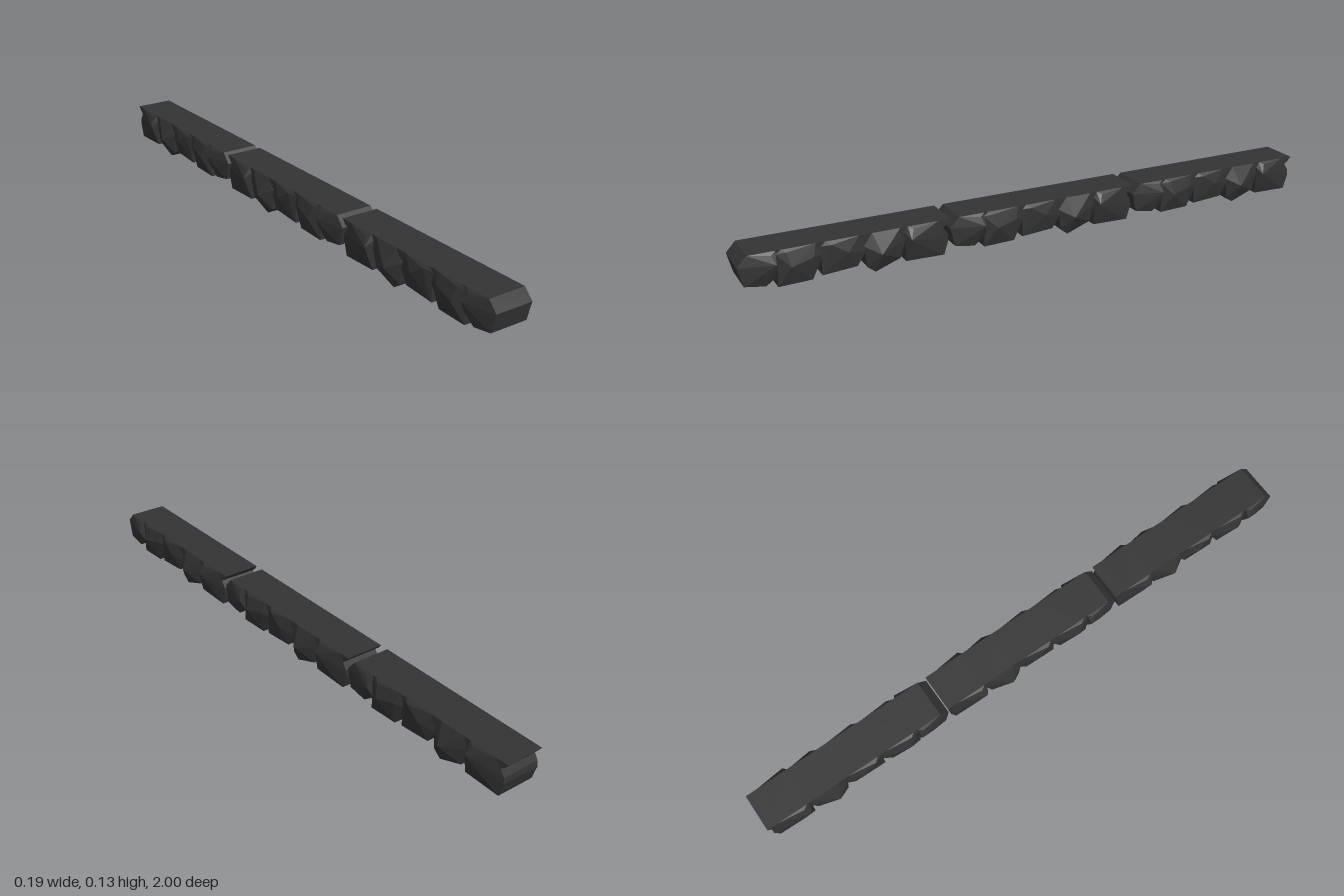
import * as THREE from 'three';
import { ConvexGeometry } from 'three/addons/geometries/ConvexGeometry.js';

const HALF = 0.065;   // half width of the flat core
const PERIOD = 0.665; // length of one run of five stones
const TOP = 0.128;

// Each stone: side outline [z, y] and the points [x, y, z] where its flanks bulge out
const STONES = [
  {
    outline: [[1, 0.095], [0.97, TOP], [0.885, TOP], [0.88, 0.05], [0.92, 0.022], [0.985, 0.033]],
    bulge: [[0.085, 0.09, 0.888], [0.078, 0.065, 0.93], [0.074, 0.118, 0.9]],
  },
  {
    outline: [[0.885, 0.115], [0.87, TOP], [0.765, TOP], [0.743, 0.09], [0.78, 0.015], [0.885, 0.012]],
    bulge: [[0.086, 0.075, 0.845], [0.076, 0.09, 0.775], [0.074, 0.12, 0.855]],
  },
  {
    outline: [[0.75, 0.115], [0.735, TOP], [0.63, TOP], [0.612, 0.075], [0.64, 0.03], [0.75, 0.022]],
    bulge: [[0.08, 0.085, 0.67], [0.076, 0.118, 0.72], [0.07, 0.06, 0.735]],
  },
  {
    outline: [[0.618, 0.09], [0.59, TOP], [0.5, TOP], [0.483, 0.09], [0.502, 0.03], [0.585, 0], [0.61, 0.02]],
    bulge: [[0.094, 0.064, 0.57], [0.08, 0.095, 0.535]],
  },
  {
    outline: [[0.486, 0.11], [0.475, TOP], [0.375, TOP], [0.345, 0.08], [0.343, 0.06], [0.358, 0.012], [0.485, 0.015]],
    bulge: [[0.088, 0.09, 0.472], [0.08, 0.06, 0.44], [0.074, 0.12, 0.46]],
  },
];

// Mortar wedges that level the top between stones
const WEDGES = [
  [[0.9, TOP], [0.865, TOP], [0.882, 0.105]],
  [[0.77, TOP], [0.73, TOP], [0.75, 0.1]],
  [[0.635, TOP], [0.585, TOP], [0.617, 0.095]],
  [[0.505, TOP], [0.47, TOP], [0.485, 0.1]],
  [[0.38, TOP], [0.335, TOP], [0.345, 0.115], [0.365, 0.098]],
];

// Convex block: an outline swept across x, plus mirrored flank points
function block(outline, bulge, material, name) {
  const points = [];
  for (const side of [-1, 1]) {
    for (const [z, y] of outline) points.push(new THREE.Vector3(side * HALF, y, z));
    for (const [x, y, z] of bulge) points.push(new THREE.Vector3(side * x, y, z));
  }
  const mesh = new THREE.Mesh(new ConvexGeometry(points), material);
  mesh.name = name;
  return mesh;
}

export function createModel() {
  const model = new THREE.Group();
  model.name = 'stoneKerb';
  const material = new THREE.MeshStandardMaterial({ color: 0x333333, flatShading: true });

  // Three identical runs laid end to end
  for (let i = 0; i < 3; i++) {
    const run = new THREE.Group();
    run.name = `stoneRun${i + 1}`;
    STONES.forEach((s, k) => run.add(block(s.outline, s.bulge, material, `stone${k + 1}`)));
    WEDGES.forEach((w, k) => run.add(block(w, [], material, `mortarWedge${k + 1}`)));
    run.position.z = -i * PERIOD;
    model.add(run);
  }
  return model;
}
